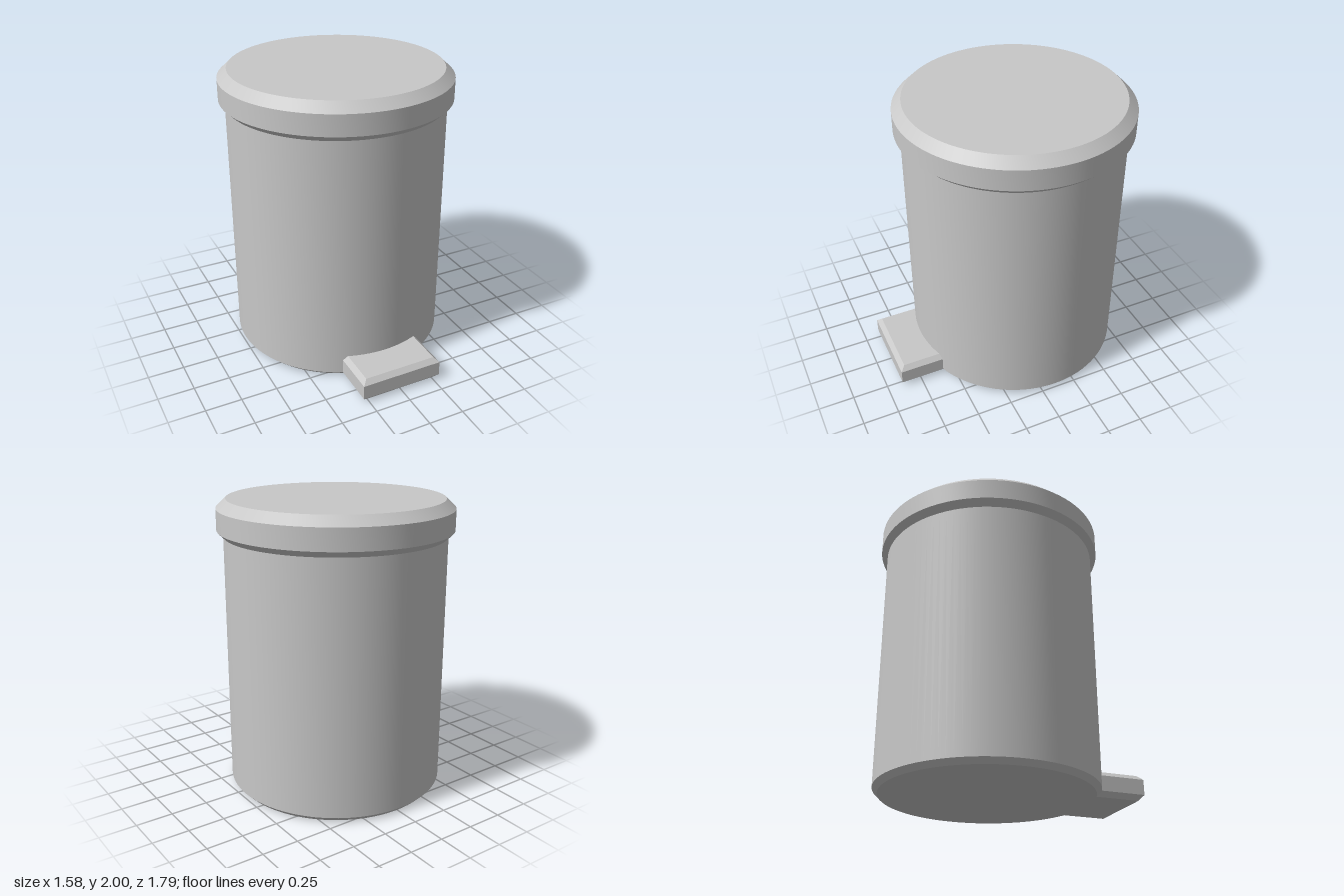
import * as THREE from 'three';
import { toCreasedNormals } from 'three/addons/utils/BufferGeometryUtils.js';

const CENTER_Z = -0.105;

// Round part turned from [radius, height] points, with crisp chamfer edges
function turned(name, points, material) {
  const profile = points.map(([r, y]) => new THREE.Vector2(r, y));
  const geometry = toCreasedNormals(new THREE.LatheGeometry(profile, 96), 0.5);
  const mesh = new THREE.Mesh(geometry, material);
  mesh.name = name;
  mesh.position.z = CENTER_Z;
  return mesh;
}

// Block with chamfered top and bottom rims on its front and sides
function pedalGeometry() {
  const back = 0.5, front = 0.895, halfWidth = 0.29, chamfer = 0.032;
  const heights = [0, 0.035, 0.138, 0.17];
  const box = new THREE.BoxGeometry(2, 3, 1, 1, 3, 1);
  const p = box.attributes.position;
  for (let i = 0; i < p.count; i++) {
    const level = Math.round(p.getY(i) + 1.5);
    const inset = level === 0 || level === 3 ? chamfer : 0;
    p.setXYZ(
      i,
      Math.sign(p.getX(i)) * (halfWidth - inset),
      heights[level],
      p.getZ(i) > 0 ? front - inset : back
    );
  }
  const geometry = box.toNonIndexed();
  geometry.computeVertexNormals();
  return geometry;
}

export function createModel() {
  const group = new THREE.Group();
  group.name = 'pedalBin';
  const grey = new THREE.MeshStandardMaterial({ color: 0xc8c8c8 });
  grey.name = 'light grey';

  // Bin body with a chamfered foot
  group.add(turned('body', [[0, 0], [0.712, 0], [0.747, 0.035], [0.747, 1.755]], grey));

  // Overhanging lid, chamfered above and below
  group.add(turned('lid', [[0.745, 1.752], [0.79, 1.795], [0.79, 1.938], [0.725, 2], [0, 2]], grey));

  // Foot pedal at the front
  const pedal = new THREE.Mesh(pedalGeometry(), grey);
  pedal.name = 'pedal';
  group.add(pedal);

  return group;
}
